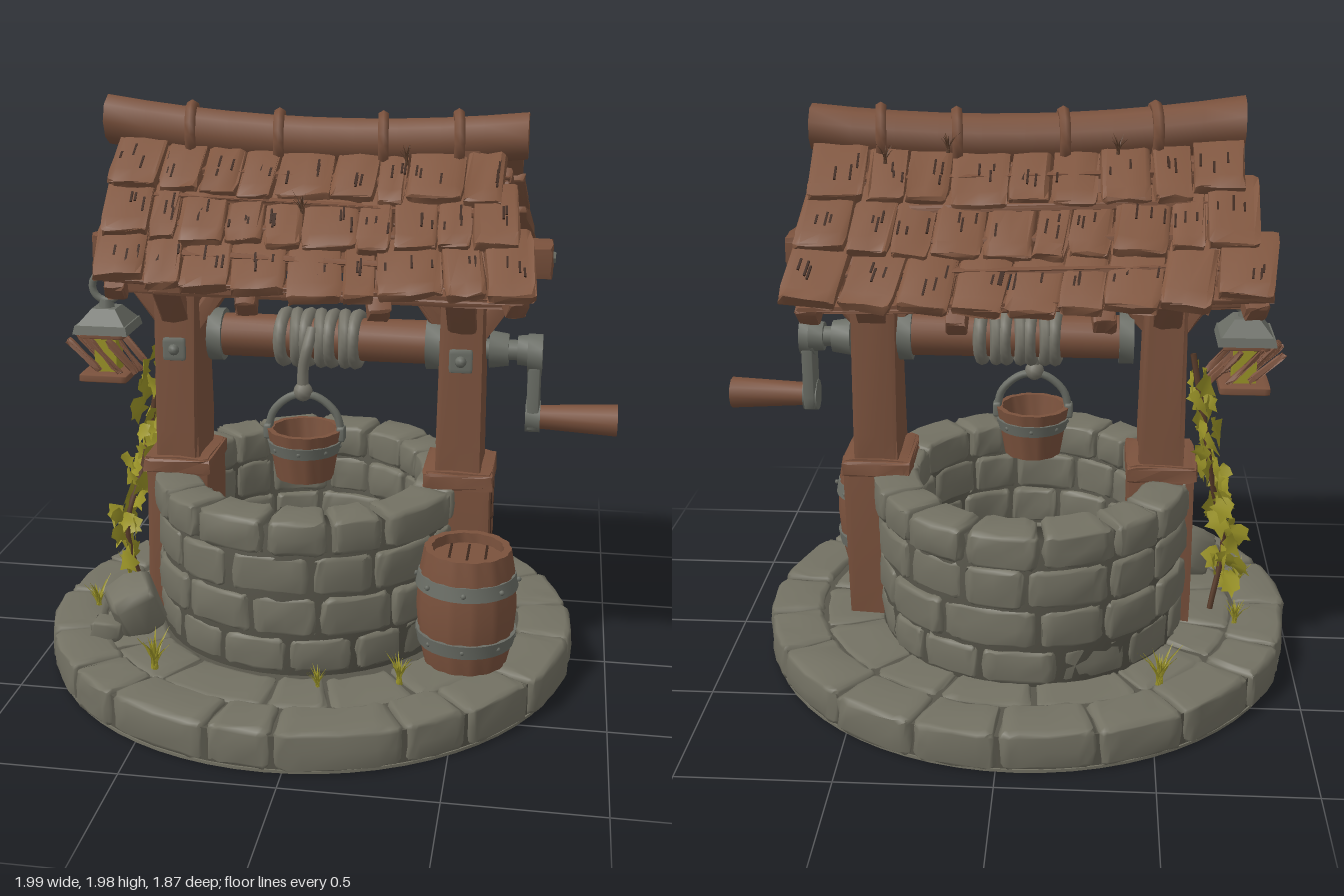
import * as THREE from 'three';
import { mergeVertices, toCreasedNormals } from 'three/addons/utils/BufferGeometryUtils.js';

const paint = (name, color, extra = {}) => {
  const m = new THREE.MeshStandardMaterial({ color, ...extra });
  m.name = name;
  return m;
};
const WOOD = paint('wood', 0x7b523d);
const SHINGLE = paint('shingle wood', 0x80563f);
const DARK = paint('dark wood grain', 0x3c271d);
const STONE = paint('stone', 0x737163);
const MORTAR = paint('mortar', 0x57554a);
const METAL = paint('iron', 0x6a6d65);
const ROPE = paint('rope', 0x77756a);
const LEAF = paint('leaf', 0x9a9327, { side: THREE.DoubleSide });
const TWIG = paint('dry grass', 0x5a3d2b, { side: THREE.DoubleSide });

let seed = 7;
const rnd = (a = 0, b = 1) => {
  seed = (seed * 16807) % 2147483647;
  return a + (b - a) * (seed / 2147483647);
};
const V = (x, y, z) => new THREE.Vector3(x, y, z);
const lerp = THREE.MathUtils.lerp;

function warp(g, rule) {
  const p = g.attributes.position, v = V(0, 0, 0);
  for (let i = 0; i < p.count; i++) {
    rule(v.fromBufferAttribute(p, i));
    p.setXYZ(i, v.x, v.y, v.z);
  }
  g.computeVertexNormals();
  return g;
}

// Rounded, slightly uneven block
function block(w, h, d, r, jit = 0, seg = [4, 3, 3]) {
  let g = new THREE.BoxGeometry(2, 2, 2, ...seg);
  g.deleteAttribute('uv');
  g.deleteAttribute('normal');
  g = mergeVertices(g);
  const half = V(w / 2, h / 2, d / 2), inner = V(0, 0, 0);
  return warp(g, v => {
    for (const k of ['x', 'y', 'z']) {
      v[k] = Math.sign(v[k]) * Math.abs(v[k]) ** 0.4 * half[k];
      inner[k] = THREE.MathUtils.clamp(v[k], r - half[k], half[k] - r);
    }
    v.sub(inner).setLength(r).add(inner);
    v.add(V(rnd(-jit, jit), rnd(-jit, jit), rnd(-jit, jit)));
  });
}

function add(parent, name, geo, mat, x = 0, y = 0, z = 0) {
  const m = new THREE.Mesh(geo, mat);
  m.name = name;
  m.position.set(x, y, z);
  parent.add(m);
  return m;
}
function group(parent, name, x = 0, y = 0, z = 0) {
  const g = new THREE.Group();
  g.name = name;
  g.position.set(x, y, z);
  parent.add(g);
  return g;
}
const hewn = (w, h, d) => toCreasedNormals(block(w, h, d, 0.012, 0.004), 0.5);

// Timber from a to b, width across and height
function beam(parent, name, a, b, w, h) {
  const m = add(parent, name, hewn(w, h, a.distanceTo(b)), WOOD);
  m.position.copy(a).lerp(b, 0.5);
  m.lookAt(b);
  return m;
}
function rod(parent, name, mat, r0, r1, x0, x1, y, z, sides = 14) {
  const g = toCreasedNormals(new THREE.CylinderGeometry(r1, r0, x1 - x0, sides), 0.7);
  return add(parent, name, g.rotateZ(-Math.PI / 2), mat, (x0 + x1) / 2, y, z);
}

// One course of curved stones
function course(parent, name, n, r0, r1, y0, y1, off, bevel = 0.03) {
  const rm = (r0 + r1) / 2;
  const cuts = Array.from({ length: n }, (_, i) => off + ((i + rnd(-0.2, 0.2)) / n) * Math.PI * 2);
  cuts.push(cuts[0] + Math.PI * 2);
  for (let i = 0; i < n; i++) {
    const mid = (cuts[i] + cuts[i + 1]) / 2, push = rnd(-0.008, 0.008);
    const g = block((cuts[i + 1] - cuts[i]) * rm - 0.004, y1 - y0 - 0.004, r1 - r0, bevel, 0.005, [8, 4, 4]);
    warp(g, v => {
      const a = mid + v.x / rm, r = rm + v.z + push;
      v.set(Math.sin(a) * r, v.y + (y0 + y1) / 2, Math.cos(a) * r);
    });
    add(parent, name, g, STONE);
  }
}

// Grooved staves: lathe with every third column pulled in
function staves(profile, columns) {
  const g = new THREE.LatheGeometry(profile.map(p => new THREE.Vector2(...p)), columns * 3);
  warp(g, v => {
    const i = Math.round((Math.atan2(v.x, v.z) / Math.PI / 2) * columns * 3);
    if (i % 3 === 0) { v.x *= 0.965; v.z *= 0.965; }
  });
  return toCreasedNormals(g, 0.5);
}
function hoop(parent, r0, r1, y, h) {
  const p = [[r0 - 0.02, -h], [r0, -h], [r1, h], [r1 - 0.02, h]].map(q => new THREE.Vector2(...q));
  add(parent, 'hoop', toCreasedNormals(new THREE.LatheGeometry(p, 28), 0.5), METAL, 0, y);
  for (let i = 0; i < 8; i++) {
    const a = i * Math.PI / 4;
    add(parent, 'rivet', new THREE.SphereGeometry(0.009, 6, 5), METAL, Math.sin(a) * r0, y, Math.cos(a) * r0);
  }
}

function tuft(parent, name, mat, x, y, z, size, n = 11) {
  const t = group(parent, name, x, y, z);
  for (let i = 0; i < n; i++) {
    const h = size * rnd(0.7, 1.2), lean = rnd(0.2, 0.7);
    const g = new THREE.ConeGeometry(size * 0.13, h, 3, 3).translate(0, h / 2, 0);
    warp(g, v => { v.z = v.z * 0.5 + lean * v.y * v.y / h; });
    add(t, 'blade', g, mat).rotation.y = i * 2.4;
  }
}

function stonework(root) {
  const base = group(root, 'base', -0.06, 0, 0);
  add(base, 'baseCore', new THREE.CylinderGeometry(0.915, 0.915, 0.118, 64), MORTAR, 0, 0.064);
  add(base, 'baseUnderside', new THREE.CylinderGeometry(0.92, 0.92, 0.01, 64), STONE, 0, 0.005);
  course(base, 'rimStone', 19, 0.74, 0.932, 0.002, 0.145, 0.1);
  course(base, 'pavingStone', 15, 0.53, 0.745, 0.05, 0.136, 0.3, 0.025);

  const well = group(root, 'well', -0.075, 0, -0.05);
  well.scale.x = 0.95;
  const prof = [[0.45, 0.12], [0.565, 0.12], [0.56, 0.65], [0.45, 0.65], [0.45, 0.12]];
  add(well, 'wallCore', new THREE.LatheGeometry(prof.map(p => new THREE.Vector2(...p)), 48), MORTAR);
  add(well, 'wellFloor', new THREE.CylinderGeometry(0.46, 0.46, 0.02, 32), MORTAR, 0, 0.135);
  course(well, 'wallStone', 15, 0.43, 0.575, 0.13, 0.26, 0);
  course(well, 'wallStone', 13, 0.43, 0.58, 0.26, 0.405, 0.25);
  course(well, 'wallStone', 14, 0.43, 0.575, 0.405, 0.55, 0.1);
  course(well, 'capStone', 15, 0.42, 0.595, 0.55, 0.68, 0.3, 0.035);

  add(root, 'boulder', block(0.2, 0.2, 0.2, 0.08, 0.008), STONE, -0.65, 0.22, 0.26).rotation.set(0.2, 0.5, 0.3);
  add(root, 'boulder', block(0.12, 0.08, 0.1, 0.035, 0.006), STONE, -0.73, 0.16, 0.34);
}

function frame(root) {
  const f = group(root, 'frame');
  for (const [x, out] of [[-0.525, -1], [0.465, 1]]) {
    add(f, 'lowerPost', hewn(0.23, 0.6, 0.275), WOOD, x, 0.43, -0.018);
    add(f, 'postCollar', hewn(0.245, 0.06, 0.29), WOOD, x, 0.695, -0.018);
    for (const z of [-0.07, 0.05]) {
      add(f, 'postSeam', new THREE.BoxGeometry(0.008, 0.52, 0.008), DARK, x + out * 0.113, 0.42, z);
    }
    const post = warp(block(0.155, 0.76, 0.235, 0.012, 0.004), v => { v.x *= 1 - v.y * 0.12; v.z *= 1 - v.y * 0.2; });
    add(f, 'upperPost', toCreasedNormals(post, 0.5), WOOD, x, 1.06, -0.02);
    // braces along and across
    for (const s of [-1, 1]) {
      beam(f, 'longBrace', V(x + s * 0.05, 1.19, -0.02), V(x + s * 0.22, 1.43, -0.02), 0.1, 0.06);
      beam(f, 'crossBrace', V(x, 1.21, -0.02 + s * 0.07), V(x, 1.43, -0.02 + s * 0.26), 0.1, 0.06);
      beam(f, 'innerRafter', V(x, 1.71, -0.02), V(x, 1.42, -0.02 + s * 0.4), 0.08, 0.07);
    }
    beam(f, 'crossTie', V(x, 1.455, -0.34), V(x, 1.455, 0.3), 0.1, 0.1);
    add(f, 'kingPost', hewn(0.1, 0.36, 0.13), WOOD, x, 1.64, -0.02);
    const plate = add(f, 'axlePlate', block(0.08, 0.08, 0.02, 0.006), METAL, x, 1.12, 0.1);
    add(plate, 'bolt', new THREE.SphereGeometry(0.02, 8, 6), METAL, 0, 0, 0.01);
    const bolt = rod(f, 'beamBolt', METAL, 0.025, 0.018, -0.01, 0.01, 1.46, -0.02, 6);
    bolt.position.x = out < 0 ? -0.82 : 0.755;
    bolt.rotation.y = out < 0 ? Math.PI : 0;
  }
  beam(f, 'longBeam', V(-0.82, 1.455, -0.02), V(0.755, 1.455, -0.02), 0.18, 0.11);
}

function roof(root) {
  const r = group(root, 'roof');
  const sag = x => 0.045 * (x / 0.7) ** 2 - 0.025 - 0.012 * x;
  // ridge log with bindings
  const log = new THREE.CylinderGeometry(0.078, 0.085, 1.42, 9, 10).rotateZ(-Math.PI / 2);
  warp(log, v => { v.y += sag(v.x - 0.05); });
  add(r, 'ridgeLog', toCreasedNormals(log, 0.75), WOOD, -0.05, 1.855, -0.025);
  for (const x of [-0.47, -0.17, 0.18, 0.43]) {
    const b = add(r, 'ridgeBinding', new THREE.TorusGeometry(0.085, 0.02, 6, 16), WOOD, x, 1.855 + sag(x), -0.025);
    b.rotation.set(0, Math.PI / 2 + 0.12, 0);
  }
  const sides = [
    { s: 1, A: [0.03, 1.8], E: [0.475, 1.42], top: [-0.71, 0.57], low: [-0.69, 0.74] },
    { s: -1, A: [-0.08, 1.8], E: [-0.575, 1.4], top: [-0.74, 0.64], low: [-0.86, 0.68] },
  ];
  for (const { s, A, E, top, low } of sides) {
    const dz = Math.abs(E[0] - A[0]), dy = A[1] - E[1], len = Math.hypot(dz, dy), slope = Math.atan2(dy, dz);
    const at = (t, u, drop = 0) => {
      const x = lerp(lerp(top[0], low[0], t), lerp(top[1], low[1], t), u);
      return V(x, lerp(A[1], E[1], t) + sag(x) - drop, lerp(A[0], E[0], t));
    };
    // sheathing, rafters and purlins
    for (let k = 0; k < 5; k++) {
      beam(r, 'sheathing', at(k / 5 + 0.08, 0.03, 0.045), at(k / 5 + 0.08, 0.97, 0.06), 0.13, 0.02).rotateZ(0);
    }
    for (const u of [0.05, 0.35, 0.65, 0.95]) beam(r, 'rafter', at(0.02, u, 0.07), at(0.94, u, 0.07), 0.075, 0.07);
    for (const t of [0.45, 0.8]) beam(r, 'purlin', at(t, 0.02, 0.1), at(t, 0.98, 0.1), 0.06, 0.06);
    // overlapping shingles with dark grain cracks
    for (let k = 0; k < 3; k++) {
      const n = 9 + (k % 2);
      const cuts = Array.from({ length: n + 1 }, (_, i) => (i + (i % n ? rnd(-0.2, 0.2) : 0)) / n);
      for (let i = 0; i < n; i++) {
        const t = (k + 0.42) / 3, w = at(t, cuts[i + 1]).x - at(t, cuts[i]).x, l = len / 3 + 0.075 + rnd(-0.02, 0.03);
        const p = at(t, (cuts[i] + cuts[i + 1]) / 2);
        const m = add(r, 'shingle', toCreasedNormals(block(w - 0.006, 0.042, l, 0.012, 0.005), 0.6), SHINGLE, p.x, p.y + 0.012 + rnd(0, 0.008), p.z);
        const skew = s * 0.06 * k;
        m.rotation.set(s * (slope - 0.13), skew + rnd(-0.04, 0.04), rnd(-0.04, 0.04));
        for (let c = 0; c < 3; c++) {
          const crack = new THREE.BoxGeometry(0.007, 0.006, rnd(0.03, 0.07));
          add(m, 'grain', crack, DARK, rnd(-0.4, 0.4) * w, 0.0205, s * rnd(-0.02, 0.06));
        }
      }
    }
  }
  for (const [x, y, z] of [[0.2, 1.8, -0.13], [-0.35, 1.8, -0.13], [0.4, 1.77, -0.17], [0.27, 1.77, 0.08], [-0.05, 1.63, 0.24]]) {
    tuft(r, 'dryTuft', TWIG, x, y, z, 0.06);
  }
}

function winch(root) {
  const w = group(root, 'winch');
  const y = 1.15, z = -0.02;
  rod(w, 'drum', WOOD, 0.075, 0.075, -0.4, 0.38, y, z);
  for (const x of [-0.42, 0.34]) rod(w, 'drumCollar', METAL, 0.092, 0.092, x, x + 0.05, y, z);
  for (let i = 0; i < 7; i++) {
    const coil = add(w, 'ropeCoil', new THREE.TorusGeometry(0.083, 0.023, 8, 20), ROPE, -0.155 + i * 0.042, y, z);
    coil.rotation.y = Math.PI / 2 + (i % 2 ? 0.12 : -0.1);
  }
  const path = new THREE.CatmullRomCurve3([V(-0.05, 1.2, 0.05), V(-0.06, 1.14, 0.09), V(-0.075, 1.06, 0.09), V(-0.075, 0.96, 0.09)]);
  add(w, 'hangingRope', new THREE.TubeGeometry(path, 12, 0.02, 8), ROPE);
  add(w, 'ropeKnot', new THREE.SphereGeometry(0.034, 10, 8), ROPE, -0.075, 0.985, 0.09);
  // crank
  rod(w, 'axle', METAL, 0.035, 0.035, 0.36, 0.72, 1.135, z);
  rod(w, 'axleFlange', METAL, 0.065, 0.055, 0.555, 0.62, 1.135, z);
  rod(w, 'axleCap', METAL, 0.05, 0.055, 0.65, 0.7, 1.135, z);
  rod(w, 'crankHead', METAL, 0.068, 0.068, 0.685, 0.735, 1.13, 0);
  add(w, 'crankArm', block(0.045, 0.26, 0.11, 0.012), METAL, 0.71, 1.0, 0);
  rod(w, 'crankFoot', METAL, 0.055, 0.055, 0.685, 0.735, 0.91, 0.005);
  rod(w, 'crankHandle', WOOD, 0.04, 0.055, 0.72, 0.995, 0.91, 0.01, 10);
}

function bucket(root) {
  const b = group(root, 'bucket', -0.07, 0.68, 0.09);
  add(b, 'bucketBody', staves([[0, 0], [0.1, 0], [0.13, 0.175], [0.11, 0.175], [0.09, 0.03], [0, 0.03]], 12), WOOD);
  hoop(b, 0.121, 0.13, 0.115, 0.02);
  for (const s of [-1, 1]) add(b, 'handleLug', block(0.03, 0.055, 0.05, 0.01), METAL, s * 0.128, 0.16, 0);
  const bail = [[-0.13, 0.15], [-0.11, 0.23], [-0.05, 0.285], [0, 0.295], [0.05, 0.285], [0.11, 0.23], [0.13, 0.15]];
  add(b, 'bucketHandle', new THREE.TubeGeometry(new THREE.CatmullRomCurve3(bail.map(p => V(p[0], p[1], 0))), 24, 0.014, 7), METAL);
}

function barrel(root) {
  const b = group(root, 'barrel', 0.52, 0.14, 0.32);
  const p = [[0, 0], [0.14, 0], [0.158, 0.08], [0.168, 0.2], [0.16, 0.32], [0.145, 0.405], [0.12, 0.405], [0.12, 0.37], [0, 0.37]];
  add(b, 'barrelBody', staves(p, 14), WOOD);
  hoop(b, 0.162, 0.17, 0.095, 0.024);
  hoop(b, 0.172, 0.163, 0.3, 0.024);
  for (const x of [-0.06, 0, 0.06]) add(b, 'lidSeam', new THREE.BoxGeometry(0.008, 0.006, 0.19), DARK, x, 0.371, 0);
}

function lantern(root) {
  const l = group(root, 'lantern', -0.8, 0.97, -0.02);
  add(l, 'lanternBase', block(0.175, 0.03, 0.175, 0.008), WOOD, 0, 0.018);
  add(l, 'lanternGlow', new THREE.BoxGeometry(0.08, 0.13, 0.08), LEAF, 0, 0.095);
  add(l, 'lanternTopFrame', block(0.16, 0.025, 0.16, 0.008), WOOD, 0, 0.172);
  for (let i = 0; i < 4; i++) {
    const side = group(l, 'lanternSide');
    side.rotation.y = i * Math.PI / 2;
    beam(side, 'cornerPost', V(0.074, 0.02, 0.074), V(0.066, 0.18, 0.066), 0.024, 0.024);
    for (const s of [-1, 1]) beam(side, 'crossBar', V(-0.06 * s, 0.035, 0.066), V(0.06 * s, 0.165, 0.066), 0.012, 0.012);
  }
  const slab = (r0, r1, h) => toCreasedNormals(new THREE.CylinderGeometry(r1, r0, h, 4).rotateY(Math.PI / 4), 0.3);
  add(l, 'lanternEave', slab(0.14, 0.13, 0.03), METAL, 0, 0.195);
  add(l, 'lanternRoof', slab(0.125, 0.06, 0.055), METAL, 0, 0.235);
  add(l, 'lanternCap', new THREE.CylinderGeometry(0.025, 0.03, 0.03, 8), METAL, 0, 0.275);
  add(l, 'lanternRing', new THREE.TorusGeometry(0.05, 0.014, 8, 18), METAL, 0, 0.335);
  add(l, 'lanternHook', new THREE.TorusGeometry(0.035, 0.012, 8, 14), METAL, 0, 0.4).rotation.y = Math.PI / 2;
}

function plants(root) {
  const ivy = group(root, 'ivy');
  const path = new THREE.CatmullRomCurve3([V(-0.72, 0.14, -0.06), V(-0.76, 0.4, -0.03), V(-0.71, 0.62, -0.1), V(-0.67, 0.85, -0.13), V(-0.62, 1.12, -0.1)]);
  add(ivy, 'vine', new THREE.TubeGeometry(path, 24, 0.011, 5), TWIG);
  const outline = [[0, -0.035], [0.035, -0.03], [0.03, 0], [0.045, 0.015], [0.018, 0.025], [0, 0.06], [-0.018, 0.025], [-0.045, 0.015], [-0.03, 0], [-0.035, -0.03]];
  const leaf = new THREE.ShapeGeometry(new THREE.Shape(outline.map(p => new THREE.Vector2(...p))));
  warp(leaf, v => { v.z = -Math.abs(v.x) * 0.4; });
  for (let i = 0; i < 48; i++) {
    const p = path.getPoint(0.1 + 0.84 * i / 47);
    const m = add(ivy, 'ivyLeaf', leaf, LEAF, p.x + rnd(-0.06, 0.02), p.y + rnd(-0.02, 0.02), p.z + rnd(-0.09, 0.1));
    m.rotation.set(rnd(-0.5, 0.2), rnd(-2.4, -0.2), Math.PI + rnd(-0.8, 0.8), 'YXZ');
    m.scale.setScalar(rnd(0.75, 1.2));
  }
  for (const [x, z, s] of [[-0.83, 0.13, 0.1], [-0.5, 0.56, 0.12], [0.06, 0.6, 0.07], [0.32, 0.53, 0.1], [-0.52, -0.59, 0.12], [-0.8, -0.16, 0.09]]) {
    tuft(root, 'grassTuft', LEAF, x, 0.13, z, s, 14);
  }
}

export function createModel() {
  seed = 7;
  const root = new THREE.Group();
  root.name = 'wishingWell';
  for (const part of [stonework, frame, roof, winch, bucket, barrel, lantern, plants]) part(root);
  return root;
}
